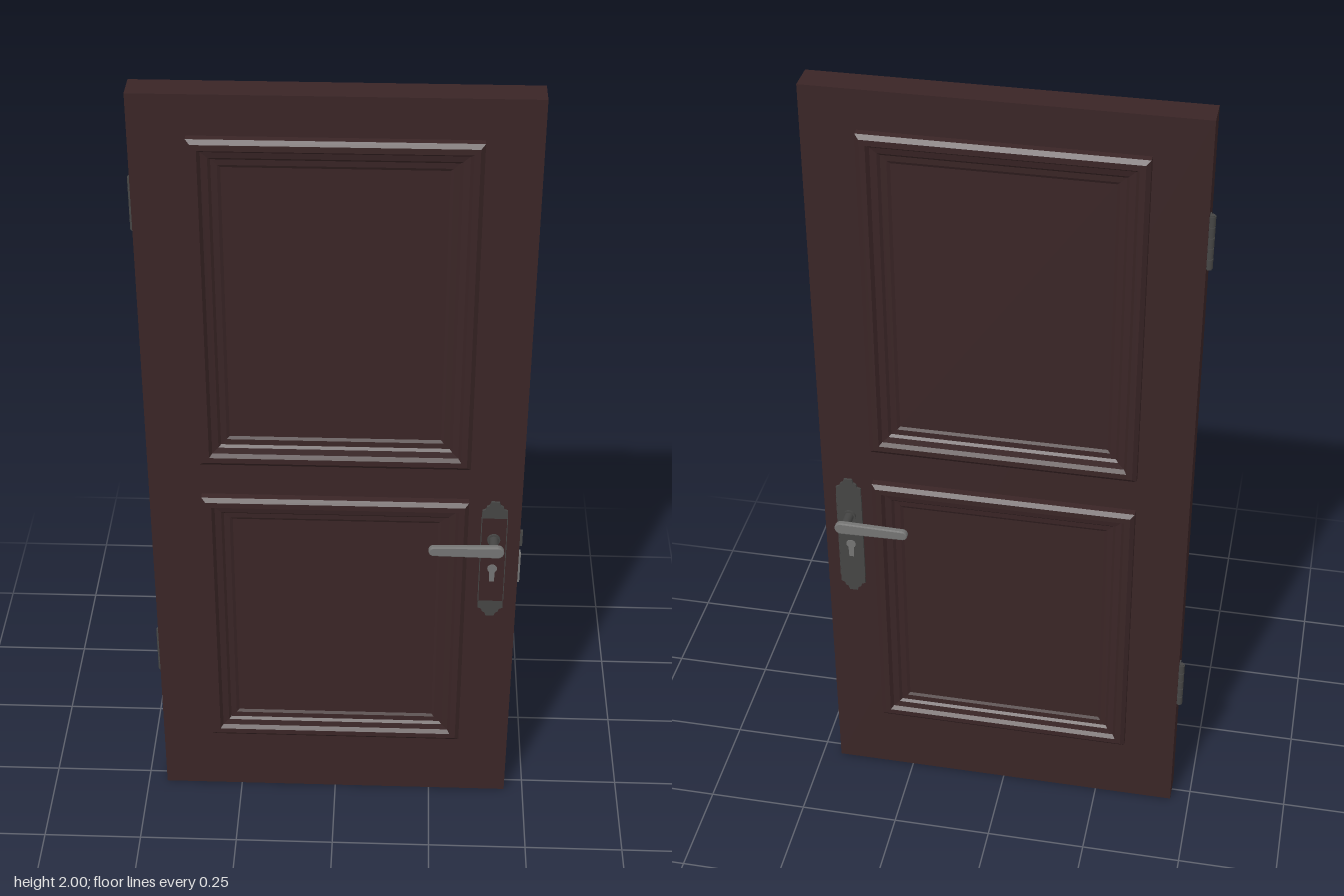
import * as THREE from 'three';

const FACE = 0.036; // half thickness of the door leaf

export function createModel() {
  const wood = new THREE.MeshStandardMaterial({ name: 'dark brown wood', color: 0x3a2526 });
  const darkSteel = new THREE.MeshStandardMaterial({ name: 'dark steel', color: 0x454544 });
  const steel = new THREE.MeshStandardMaterial({ name: 'light steel', color: 0x747473 });

  const door = new THREE.Group();
  door.name = 'door';

  const add = (parent, name, geo, mat, x = 0, y = 0, z = 0) => {
    const mesh = new THREE.Mesh(geo, mat);
    mesh.name = name;
    mesh.position.set(x, y, z);
    parent.add(mesh);
    return mesh;
  };
  const box = (w, h, d) => new THREE.BoxGeometry(w, h, d);
  const plate = (shape, depth) => new THREE.ExtrudeGeometry(shape, { depth, bevelEnabled: false, curveSegments: 10 });

  // Door leaf
  add(door, 'doorLeaf', box(0.902, 2, FACE * 2), wood, 0, 1, 0);

  // Picture-frame moulding: rectangles stepped inwards along [inset, height] and a closing panel
  const profile = [[0, 0], [0, 0.018], [0.01, 0.026], [0.024, 0.026], [0.031, 0.016],
    [0.046, 0.013], [0.052, 0.007], [0.066, 0.006], [0.073, 0.002]];
  const mouldingGeometry = (x0, x1, y0, y1) => {
    const rings = profile.map(([i, h]) => [
      [x0 + i, y0 + i, h], [x1 - i, y0 + i, h], [x1 - i, y1 - i, h], [x0 + i, y1 - i, h]]);
    const pos = [];
    const quad = (a, b, c, d) => pos.push(...a, ...b, ...c, ...a, ...c, ...d);
    for (let r = 0; r < rings.length - 1; r++) {
      for (let k = 0; k < 4; k++) {
        const n = (k + 1) % 4;
        quad(rings[r][k], rings[r][n], rings[r + 1][n], rings[r + 1][k]);
      }
    }
    quad(...rings[rings.length - 1]);
    const geo = new THREE.BufferGeometry();
    geo.setAttribute('position', new THREE.Float32BufferAttribute(pos, 3));
    geo.computeVertexNormals();
    return geo;
  };
  const upper = mouldingGeometry(-0.323, 0.323, 1.053, 1.904);
  const lower = mouldingGeometry(-0.323, 0.323, 0.192, 0.955);
  for (const side of ['front', 'back']) {
    const panels = new THREE.Group();
    panels.name = side + 'Panels';
    if (side === 'back') panels.rotation.y = Math.PI;
    add(panels, 'upperPanel', upper, wood, 0, 0, FACE);
    add(panels, 'lowerPanel', lower, wood, 0, 0, FACE);
    door.add(panels);
  }

  // Ornamental plate end, drawn upwards from its lower edge
  const endPoints = [[0.031, 0], [0.031, 0.022], [0.022, 0.026], [0.02, 0.034], [0.013, 0.038], [0.01, 0.048]];
  const endShape = new THREE.Shape([...endPoints, ...endPoints.map(([x, y]) => [-x, y]).reverse()]
    .map(([x, y]) => new THREE.Vector2(x, y)));

  // Keyhole outline: round head and flared foot
  const keyShape = new THREE.Shape();
  keyShape.absarc(0, 0.012, 0.012, -Math.PI * 0.3, Math.PI * 1.3, false);
  keyShape.lineTo(-0.006, -0.027);
  keyShape.lineTo(0.006, -0.027);

  // Lever: slim bar with rounded ends
  const leverShape = new THREE.Shape();
  leverShape.absarc(0.008, 0, 0.016, -Math.PI / 2, Math.PI / 2, false);
  leverShape.absarc(-0.146, 0, 0.013, Math.PI / 2, Math.PI * 1.5, false);
  const leverGeo = new THREE.ExtrudeGeometry(leverShape,
    { depth: 0.009, bevelThickness: 0.003, bevelSize: 0.003, bevelOffset: -0.003, bevelSegments: 2, curveSegments: 8 });

  // Handle set, mirrored to both faces; the front plate centre is wood coloured
  const handleSet = (front) => {
    const set = new THREE.Group();
    set.name = front ? 'frontHandle' : 'backHandle';
    set.position.set(0.387, 0, front ? FACE : -FACE);
    const dir = front ? 1 : -1;
    const sit = (z, depth) => (front ? z : -z - depth); // lay an extrusion outward on its face
    const t = 0.006;
    add(set, 'plateTop', plate(endShape, t), darkSteel, 0, 0.902, sit(0, t));
    add(set, 'plateBottom', plate(endShape, t), darkSteel, 0, 0.648, sit(0, t) + t).rotation.x = Math.PI;
    add(set, 'plateCentre', box(0.062, 0.254, t), front ? wood : darkSteel, 0, 0.775, dir * t / 2);
    for (const s of [-1, 1]) {
      add(set, 'plateRim', box(0.002, 0.254, t), darkSteel, s * 0.031, 0.775, dir * (t / 2 + 0.0004));
    }
    add(set, 'keyhole', plate(keyShape, 0.002), steel, 0, 0.738, sit(t, 0.002));

    // Neck with collars, then the lever
    const round = (name, r, len, z) => {
      add(set, name, new THREE.CylinderGeometry(r, r, len, 20), darkSteel, 0, 0.84, dir * z).rotation.x = Math.PI / 2;
    };
    round('neckCollar', 0.016, 0.006, t + 0.002);
    round('neck', 0.0115, 0.05, 0.026);
    add(set, 'lever', leverGeo, steel, 0, 0.84, sit(0.049, 0.015) + 0.003);
    return set;
  };
  door.add(handleSet(true), handleSet(false));

  // Lock bolt and latch on the closing edge
  add(door, 'lockBolt', box(0.012, 0.085, 0.022), steel, 0.452, 0.728, 0);
  add(door, 'latch', box(0.016, 0.045, 0.008), darkSteel, 0.452, 0.815, 0);

  // Hinges: a stack of knuckles with slim gaps, a pin and a leaf
  for (const y of [0.408, 1.705]) {
    const hinge = new THREE.Group();
    hinge.name = 'hinge';
    hinge.position.set(-0.457, y, -0.028);
    for (let i = -2; i <= 2; i++) {
      add(hinge, 'knuckle', new THREE.CylinderGeometry(0.008, 0.008, 0.024, 14), darkSteel, 0, i * 0.0265, 0);
    }
    add(hinge, 'pin', new THREE.CylinderGeometry(0.006, 0.006, 0.136, 12), darkSteel);
    add(hinge, 'leaf', box(0.004, 0.13, 0.02), darkSteel, 0.005, 0, 0.008);
    door.add(hinge);
  }
  return door;
}
